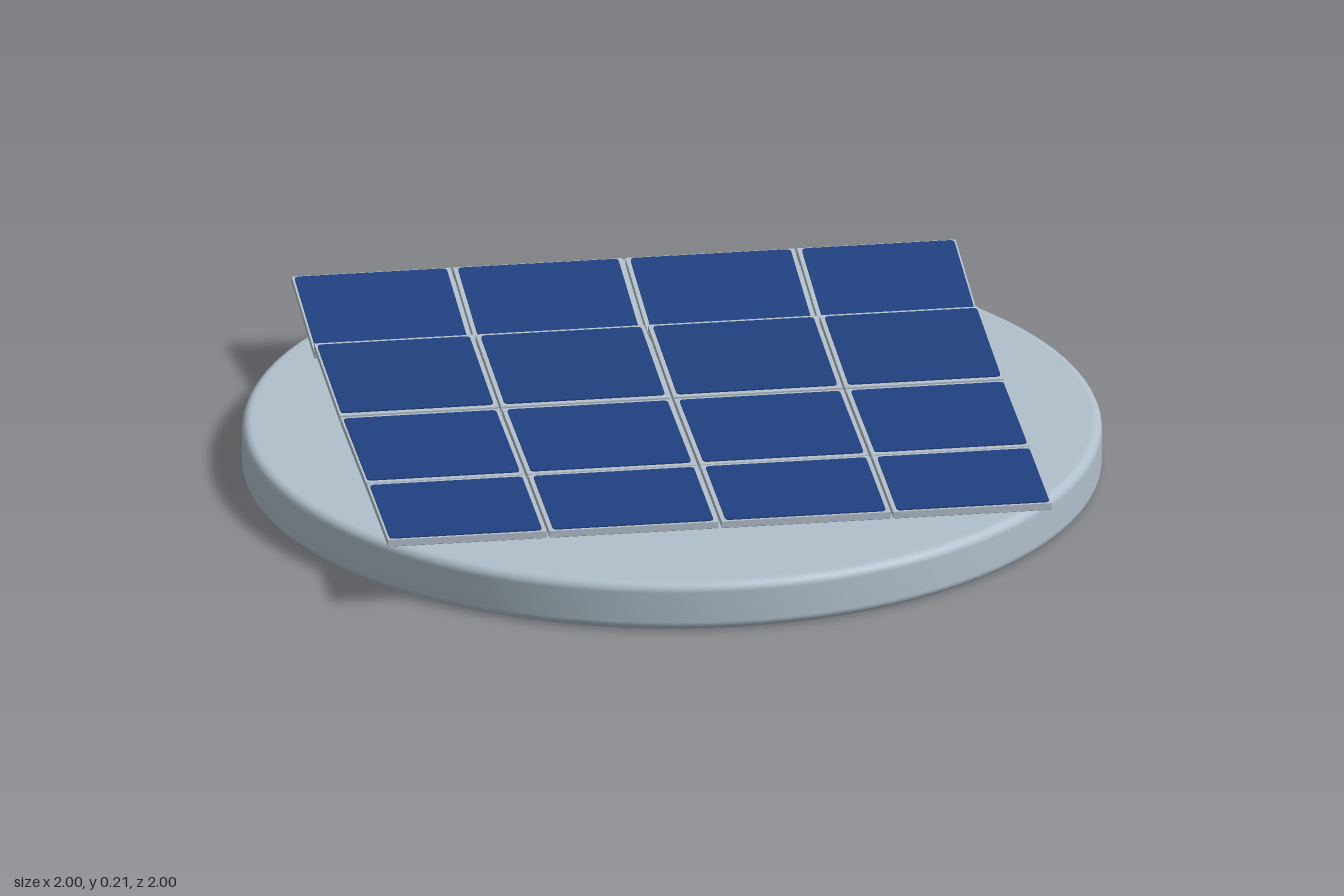
import * as THREE from 'three';

// Flat plate with softly rounded corners, lying in the xz plane and facing up
function roundedCell(w, d, r, t) {
  const x = w / 2, y = d / 2;
  const s = new THREE.Shape();
  s.moveTo(-x + r, -y);
  s.lineTo(x - r, -y);
  s.quadraticCurveTo(x, -y, x, -y + r);
  s.lineTo(x, y - r);
  s.quadraticCurveTo(x, y, x - r, y);
  s.lineTo(-x + r, y);
  s.quadraticCurveTo(-x, y, -x, y - r);
  s.lineTo(-x, -y + r);
  s.quadraticCurveTo(-x, -y, -x + r, -y);
  return new THREE.ExtrudeGeometry(s, { depth: t, bevelEnabled: false, curveSegments: 4 }).rotateX(-Math.PI / 2);
}

export function createModel() {
  const mat = (name, color) => Object.assign(new THREE.MeshStandardMaterial({ color }), { name });
  const baseMat = mat('paleSteel', 0xb0c0cc);
  const frameMat = mat('frameSilver', 0xb4c0cb);
  const cellMat = mat('solarBlue', 0x204180);
  const backMat = mat('backGrey', 0x76818a);

  const model = new THREE.Group();
  model.name = 'solarArray';
  const add = (parent, name, geo, material, x = 0, y = 0, z = 0) => {
    const m = new THREE.Mesh(geo, material);
    m.name = name;
    m.position.set(x, y, z);
    parent.add(m);
  };

  // Round base with rolled edges
  const H = 0.118, B = 0.022;
  const profile = [new THREE.Vector2(0, 0), new THREE.Vector2(0.97, 0)];
  for (const [cy, start] of [[B, -Math.PI / 2], [H - B, 0]]) {
    for (let i = 0; i <= 6; i++) {
      const a = start + (i / 6) * Math.PI / 2;
      profile.push(new THREE.Vector2(1 - B + B * Math.cos(a), cy + B * Math.sin(a)));
    }
  }
  profile.push(new THREE.Vector2(0.97, H), new THREE.Vector2(0, H));
  add(model, 'roundBase', new THREE.LatheGeometry(profile, 96), baseMat);

  // Panel rows: front z, front height, back z, back height (at mid thickness)
  const rows = [
    [0.775, 0.172, 0.43, 0.172],
    [0.423, 0.171, 0.008, 0.166],
    [-0.002, 0.166, -0.417, 0.178],
    [-0.413, 0.157, -0.78, 0.198],
  ];
  // Panel columns: left and right edges
  const columns = [[-0.78, -0.407], [-0.401, -0.004], [0.004, 0.401], [0.407, 0.78]];
  const T = 0.016;

  rows.forEach(([zf, yf, zb, yb], r) => {
    const row = new THREE.Group();
    row.name = `panelRow${r + 1}`;
    row.position.set(0, (yf + yb) / 2, (zf + zb) / 2);
    row.rotation.x = Math.atan2(yb - yf, zf - zb);
    model.add(row);
    const depth = Math.hypot(zf - zb, yb - yf);
    // The frame lip is narrower along the outside of the array
    const lipFront = r === 0 ? 0.007 : 0.014;
    const lipBack = r === 3 ? 0.007 : 0.014;

    columns.forEach(([x0, x1], c) => {
      const w = x1 - x0, cx = (x0 + x1) / 2;
      const lipL = c === 0 ? 0.005 : 0.01;
      const lipR = c === 3 ? 0.005 : 0.01;
      add(row, 'panelFrame', new THREE.BoxGeometry(w, T, depth), frameMat, cx, 0, 0);
      add(row, 'solarCell', roundedCell(w - lipL - lipR, depth - lipFront - lipBack, 0.012, 0.003), cellMat,
        cx + (lipL - lipR) / 2, T / 2, (lipBack - lipFront) / 2);
      add(row, 'panelBack', new THREE.BoxGeometry(w - 0.006, 0.002, depth - 0.006), backMat, cx, -T / 2 - 0.001, 0);
    });
  });

  return model;
}
